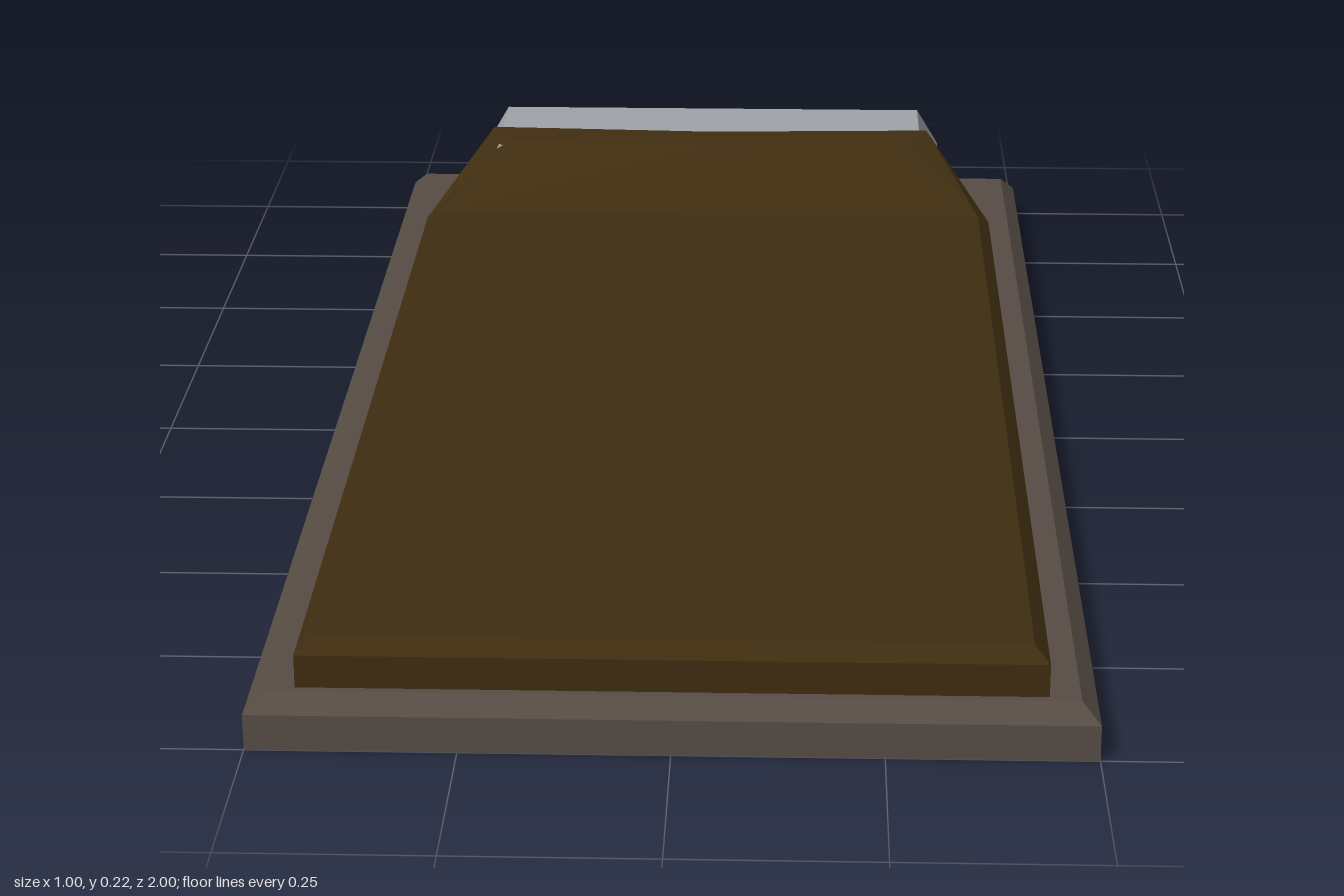
import * as THREE from 'three';

// Closed faceted solid through matching rings of points; each end is fanned to a centre point.
// Rings run counter-clockwise when looked at from the last ring's end.
function loft(rings, startCentre, endCentre) {
  const pos = [];
  const tri = (a, b, c) => pos.push(...a, ...b, ...c);
  const n = rings[0].length;
  const last = rings[rings.length - 1];
  for (let j = 0; j < n; j++) {
    const k = (j + 1) % n;
    tri(startCentre, rings[0][k], rings[0][j]);
    tri(endCentre, last[j], last[k]);
    for (let i = 0; i < rings.length - 1; i++) {
      const r = rings[i], s = rings[i + 1];
      tri(r[j], r[k], s[k]);
      tri(r[j], s[k], s[j]);
    }
  }
  const g = new THREE.BufferGeometry();
  g.setAttribute('position', new THREE.Float32BufferAttribute(pos, 3));
  g.computeVertexNormals();
  return g;
}

// Rectangular slab from levels of [y, half width, back z, front z], lowest first
function slab(levels) {
  const rings = levels.map(([y, w, b, f]) => [[w, y, f], [w, y, b], [-w, y, b], [-w, y, f]]);
  const centre = ([y, , b, f]) => [0, y, (b + f) / 2];
  return loft(rings, centre(levels[0]), centre(levels[levels.length - 1]));
}

// Blanket cross-section from bottom, side and top points [half width, y, z];
// dip shifts the middle of the section along z
function blanketSection([bw, by, bz], [mw, my, mz], [tw, ty, tz], dip = 0) {
  return [
    [-bw, by, bz], [0, by, bz + dip], [bw, by, bz], [mw, my, mz],
    [tw, ty, tz], [0, ty, tz + dip], [-tw, ty, tz], [-mw, my, mz],
  ];
}

export function createModel() {
  const mattressMat = new THREE.MeshStandardMaterial({ color: 0x574d45 });
  const blanketMat = new THREE.MeshStandardMaterial({ color: 0x3f2d10 });
  const pillowMat = new THREE.MeshStandardMaterial({ color: 0xa0a4a8 });
  mattressMat.name = 'mattress brown';
  blanketMat.name = 'blanket dark brown';
  pillowMat.name = 'pillow grey';

  const group = new THREE.Group();
  group.name = 'bedroll';
  const add = (name, geometry, material) => {
    const mesh = new THREE.Mesh(geometry, material);
    mesh.name = name;
    group.add(mesh);
  };

  // Mattress with a bevelled upper edge
  add('mattress', slab([
    [0, 0.5, -1, 1],
    [0.045, 0.5, -1, 1],
    [0.067, 0.478, -0.98, 0.98],
  ]), mattressMat);

  // Pillow, widest at half height
  add('pillow', slab([
    [0.068, 0.335, -0.925, -0.72],
    [0.135, 0.37, -0.96, -0.69],
    [0.2, 0.335, -0.93, -0.72],
  ]), pillowMat);

  // Blanket: flat over the mattress, its head end rising and narrowing towards the pillow
  add('blanket', loft([
    blanketSection([0.34, 0.203, -0.768], [0.345, 0.215, -0.77], [0.315, 0.207, -0.725], 0.016),
    blanketSection([0.44, 0.072, -0.6], [0.44, 0.113, -0.618], [0.422, 0.13, -0.595]),
    blanketSection([0.44, 0.072, 0.98], [0.44, 0.113, 0.98], [0.422, 0.13, 0.96]),
  ], [0, 0.215, -0.754], [0, 0.113, 0.98]), blanketMat);

  return group;
}
